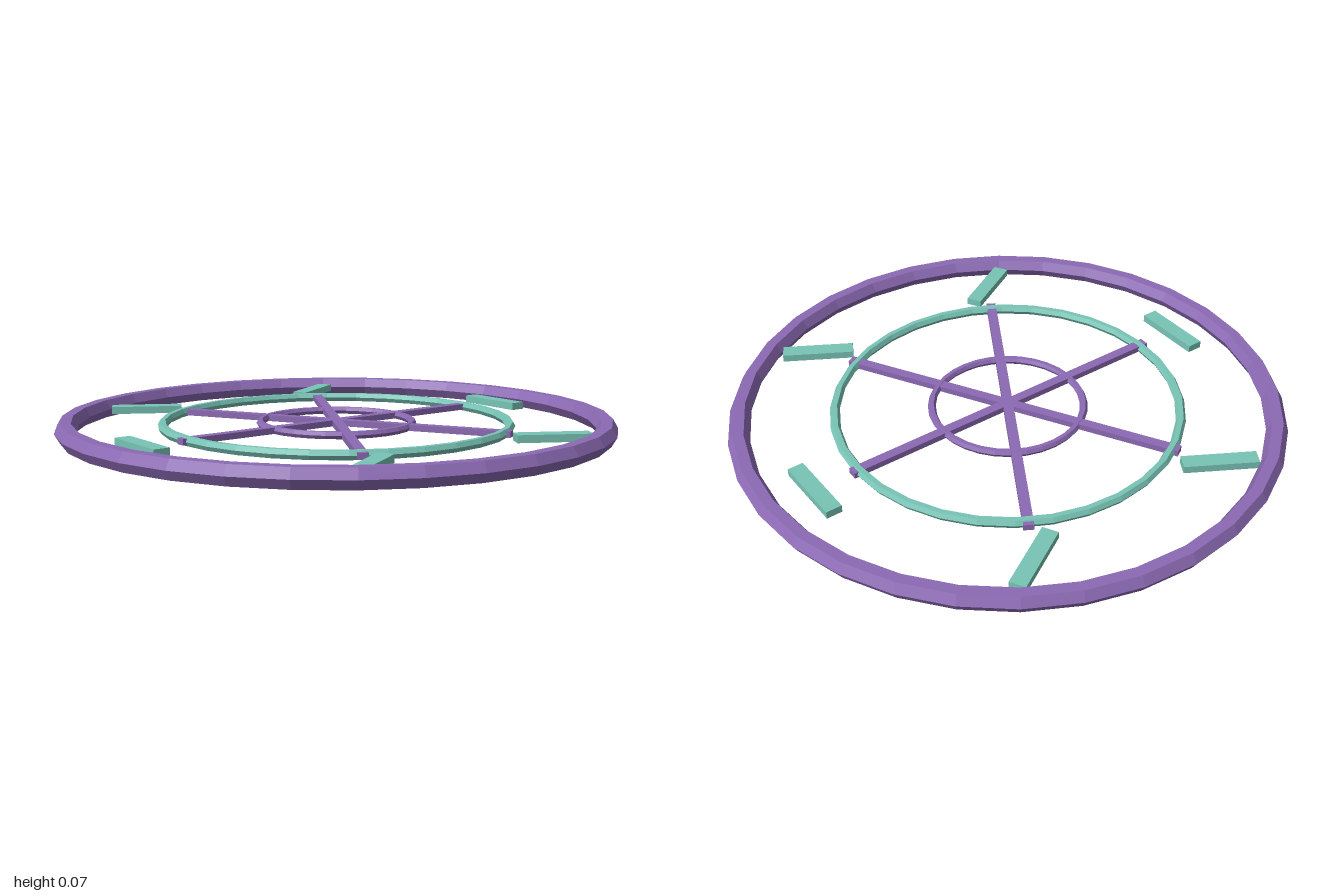
import * as THREE from 'three';

export function createModel() {
  const model = new THREE.Group();
  model.name = 'spokedRing';

  const purple = new THREE.MeshStandardMaterial({ color: 0x8c6ab4, flatShading: true });
  const teal = new THREE.MeshStandardMaterial({ color: 0x78c4b6, flatShading: true });
  const midY = 0.033;

  const add = (name, geometry, material) => {
    const mesh = new THREE.Mesh(geometry, material);
    mesh.name = name;
    mesh.position.y = midY;
    model.add(mesh);
    return mesh;
  };

  // Concentric hexagonal-section rings lying flat
  const ring = (name, radius, tube, material) =>
    add(name, new THREE.TorusGeometry(radius, tube, 6, 32).rotateX(Math.PI / 2), material);
  ring('outerRing', 0.9615, 0.0385, purple);
  ring('middleRing', 0.624, 0.018, teal);
  ring('innerRing', 0.275, 0.0145, purple);

  // Three full-width bars crossing at the centre make six spokes
  for (let i = 0; i < 3; i++) {
    const spoke = add('spokeBar', new THREE.BoxGeometry(0.036, 0.022, 1.3), purple);
    spoke.rotation.y = (i * Math.PI) / 3;
  }

  // Six flat blocks between the outer and middle rings, turned against their bearing
  for (let i = 0; i < 6; i++) {
    const a = (i * Math.PI) / 3;
    const block = add('markerBlock', new THREE.BoxGeometry(0.264, 0.027, 0.058), teal);
    block.position.x = 0.794 * Math.sin(a);
    block.position.z = 0.794 * Math.cos(a);
    block.rotation.y = -a;
  }

  return model;
}
